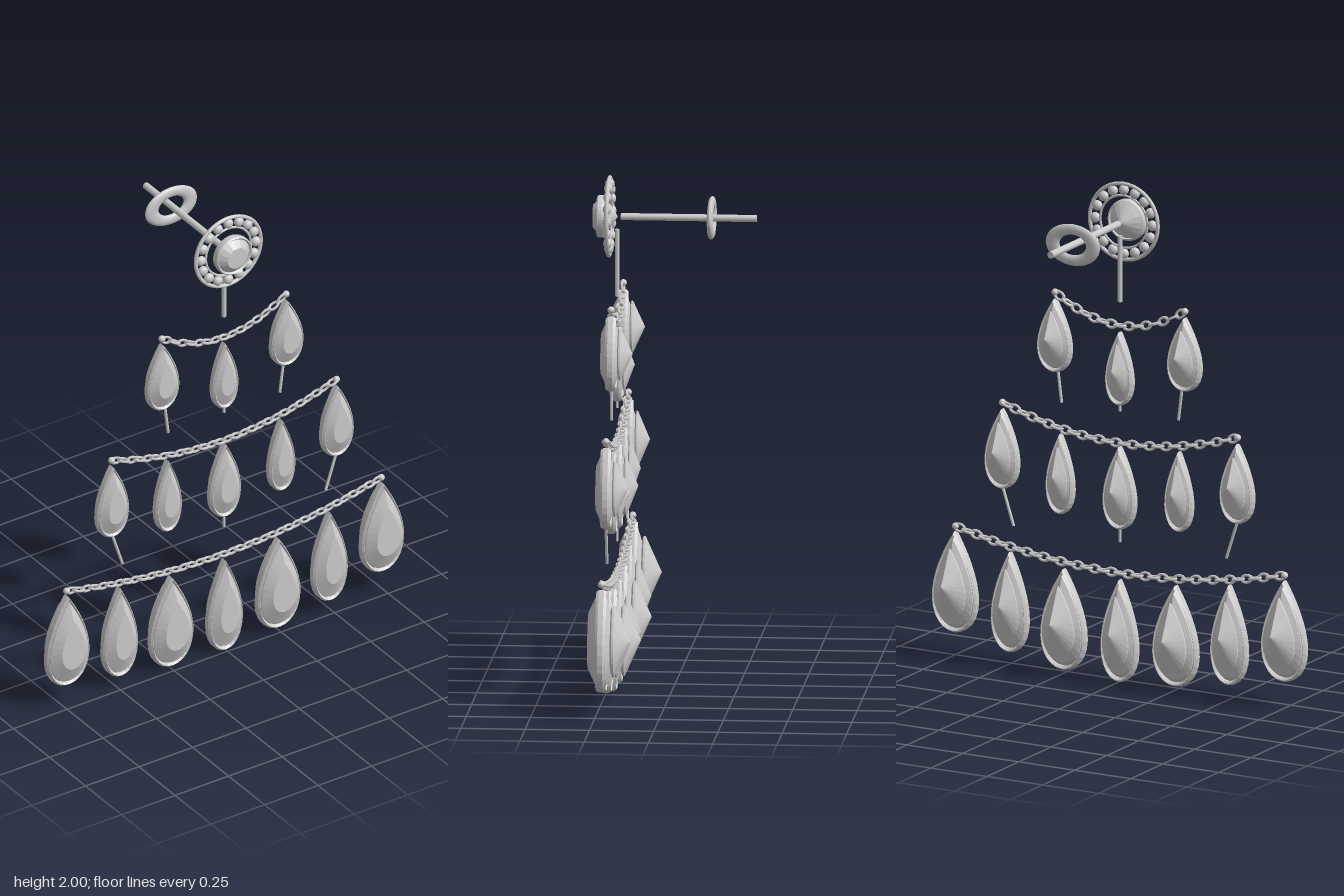
import * as THREE from 'three';

const Z = 0.225;      // plane of the hanging parts
const STUD_Y = 1.84;  // height of the ear stud

export function createModel() {
  const root = new THREE.Group();
  root.name = 'chandelierEarring';
  const silver = new THREE.MeshStandardMaterial({ color: 0xcccccc, flatShading: true });
  silver.name = 'silver';
  const smoothSilver = silver.clone();
  smoothSilver.flatShading = false;
  smoothSilver.name = 'silver';

  const add = (parent, name, geo, mat, x = 0, y = 0, z = 0) => {
    const m = new THREE.Mesh(geo, mat);
    m.name = name;
    m.position.set(x, y, z);
    parent.add(m);
    return m;
  };

  // Teardrop outline, point up, filling -1..1 in both directions
  const N = 32;
  const outline = [];
  for (let i = 0; i < N; i++) {
    const t = (i / N) * Math.PI * 2;
    outline.push([-Math.sin(t) * Math.sin(t / 2) / 0.77, Math.cos(t)]);
  }

  // Skin a list of teardrop sections [scaleX, scaleY, z], running back to front
  function loft(sections, hw, hh, closed = false) {
    const pos = [], idx = [];
    for (const [sx, sy, z] of sections)
      for (const [x, y] of outline) pos.push(x * hw * sx, y * hh * sy, z);
    const count = sections.length;
    for (let r = 0; r < (closed ? count : count - 1); r++) {
      const a = r * N, b = ((r + 1) % count) * N;
      for (let i = 0; i < N; i++) {
        const j = (i + 1) % N;
        idx.push(a + i, a + j, b + j, a + i, b + j, b + i);
      }
    }
    const g = new THREE.BufferGeometry();
    g.setAttribute('position', new THREE.Float32BufferAttribute(pos, 3));
    g.setIndex(idx);
    g.computeVertexNormals();
    return g;
  }

  // Pear-cut stone in a rounded frame
  function drop(x, top, bottom, hw) {
    const hh = (top - bottom) / 2;
    const d = new THREE.Group();
    d.name = 'drop';
    d.position.set(x, (top + bottom) / 2, Z);
    const profile = [
      [0, -1.13], [0.7, -0.5], [0.7, -0.42], [0.6, -0.36], [0.85, -0.2],
      [0.93, 0], [0.88, 0.2], [0.54, 0.52], [0, 0.52],
    ];
    const narrow = hw < 0.09 ? 0.92 : 1;
    add(d, 'stone', loft(profile.map(([s, z]) =>
      [z > 0.5 ? s * narrow : s, s, z * hw]), hw, hh), silver);
    const w = 0.016;
    const rim = [[w, -0.012], [w / 2, -0.02], [0, -0.01], [0, 0.01], [w / 2, 0.02], [w, 0.012]];
    add(d, 'frame', loft(rim.map(([i, z]) => [1 - i / hw, 1 - i / hh, z]), hw, hh, true), silver);
    root.add(d);
  }

  // Straight round bar between two points
  function rod(name, a, b, radius) {
    const curve = new THREE.LineCurve3(a, b);
    const m = add(root, name, new THREE.CylinderGeometry(radius, radius, curve.getLength(), 12), smoothSilver);
    m.position.copy(a).add(b).multiplyScalar(0.5);
    m.quaternion.setFromUnitVectors(new THREE.Vector3(0, 1, 0), b.clone().sub(a).normalize());
  }
  const P = (x, y, z = Z) => new THREE.Vector3(x, y, z);

  // Sagging chain of links, turned alternately
  const linkGeo = new THREE.TorusGeometry(0.0145, 0.0055, 6, 14).scale(1.5, 1, 1);
  const ballGeo = new THREE.SphereGeometry(0.014, 12, 8);
  function chain(half, yEnd, yMid) {
    const c = new THREE.Group();
    c.name = 'chain';
    const n = Math.round(2 * half / 0.038);
    const sag = yEnd - yMid;
    for (let i = 0; i < n; i++) {
      const u = ((i + 0.5) / n) * 2 - 1;
      const link = add(c, 'link', linkGeo, smoothSilver, u * half, yMid + sag * u * u, Z);
      link.rotation.set(i % 2 ? Math.PI / 2 : 0.25, 0, Math.atan(2 * sag * u / half), 'ZYX');
    }
    for (const s of [-1, 1]) add(c, 'chainEnd', ballGeo, smoothSilver, s * half, yEnd, Z);
    root.add(c);
  }

  // Three tiers: chain, then drops as [x, top, bottom, half width]
  const tiers = [
    { chain: [0.29, 1.525, 1.43], drops: [[0, 1.405, 1.11, 0.061], [0.29, 1.5, 1.205, 0.075]] },
    { chain: [0.525, 1.05, 0.957],
      drops: [[0, 0.945, 0.612, 0.073], [0.265, 0.96, 0.638, 0.062], [0.525, 1.025, 0.705, 0.075]] },
    { chain: [0.735, 0.525, 0.435],
      drops: [[0, 0.41, 0, 0.082], [0.25, 0.42, 0.015, 0.101],
        [0.49, 0.455, 0.053, 0.082], [0.735, 0.505, 0.1, 0.1]] },
  ];
  for (const t of tiers) {
    chain(...t.chain);
    for (const [x, top, bottom, hw] of t.drops)
      for (const s of x ? [-1, 1] : [1]) drop(s * x, top, bottom, hw);
  }

  // Bars linking the tiers
  rod('topBar', P(0, 1.79), P(0, 1.525), 0.009);
  rod('centreBar', P(0, 1.13), P(0, 1.085), 0.005);
  rod('centreBar', P(0, 0.64), P(0, 0.56), 0.005);
  for (const s of [-1, 1]) {
    rod('sideBar', P(s * 0.278, 1.22), P(s * 0.261, 1.085), 0.006);
    rod('sideBar', P(s * 0.527, 0.72), P(s * 0.475, 0.56), 0.006);
  }

  // Stud: round stone, bezel, ring of beads
  const stud = new THREE.Group();
  stud.name = 'stud';
  stud.position.set(0, STUD_Y, 0);
  root.add(stud);
  const stone = [[0, 0.222], [0.022, 0.235], [0.055, 0.258], [0.07, 0.27],
    [0.076, 0.29], [0.045, 0.318], [0, 0.318]];
  add(stud, 'studStone', new THREE.LatheGeometry(
    stone.map(([r, z]) => new THREE.Vector2(r, z)), 16).rotateX(Math.PI / 2), silver);
  const bezel = [[0.072, 0.262], [0.08, 0.268], [0.083, 0.28], [0.083, 0.296],
    [0.078, 0.302], [0.072, 0.296], [0.072, 0.262]];
  add(stud, 'bezel', new THREE.LatheGeometry(
    bezel.map(([r, z]) => new THREE.Vector2(r, z)), 40).rotateX(Math.PI / 2), silver);
  add(stud, 'outerRing', new THREE.TorusGeometry(0.152, 0.008, 8, 48), smoothSilver, 0, 0, 0.255);
  add(stud, 'innerRing', new THREE.TorusGeometry(0.105, 0.005, 8, 48), smoothSilver, 0, 0, 0.255);
  const beadGeo = new THREE.SphereGeometry(0.021, 12, 8).scale(1, 1, 0.8);
  for (let i = 0; i < 16; i++) {
    const a = (i / 16) * Math.PI * 2;
    add(stud, 'bead', beadGeo, smoothSilver, Math.cos(a) * 0.128, Math.sin(a) * 0.128, 0.255);
  }

  // Ear post and its oval clutch
  rod('post', P(0, STUD_Y, 0.21), P(0, STUD_Y, -0.318), 0.014);
  add(root, 'clutch', new THREE.TorusGeometry(0.09, 0.031, 12, 40).scale(1, 0.69, 0.4),
    smoothSilver, 0, STUD_Y, -0.143);
  return root;
}
